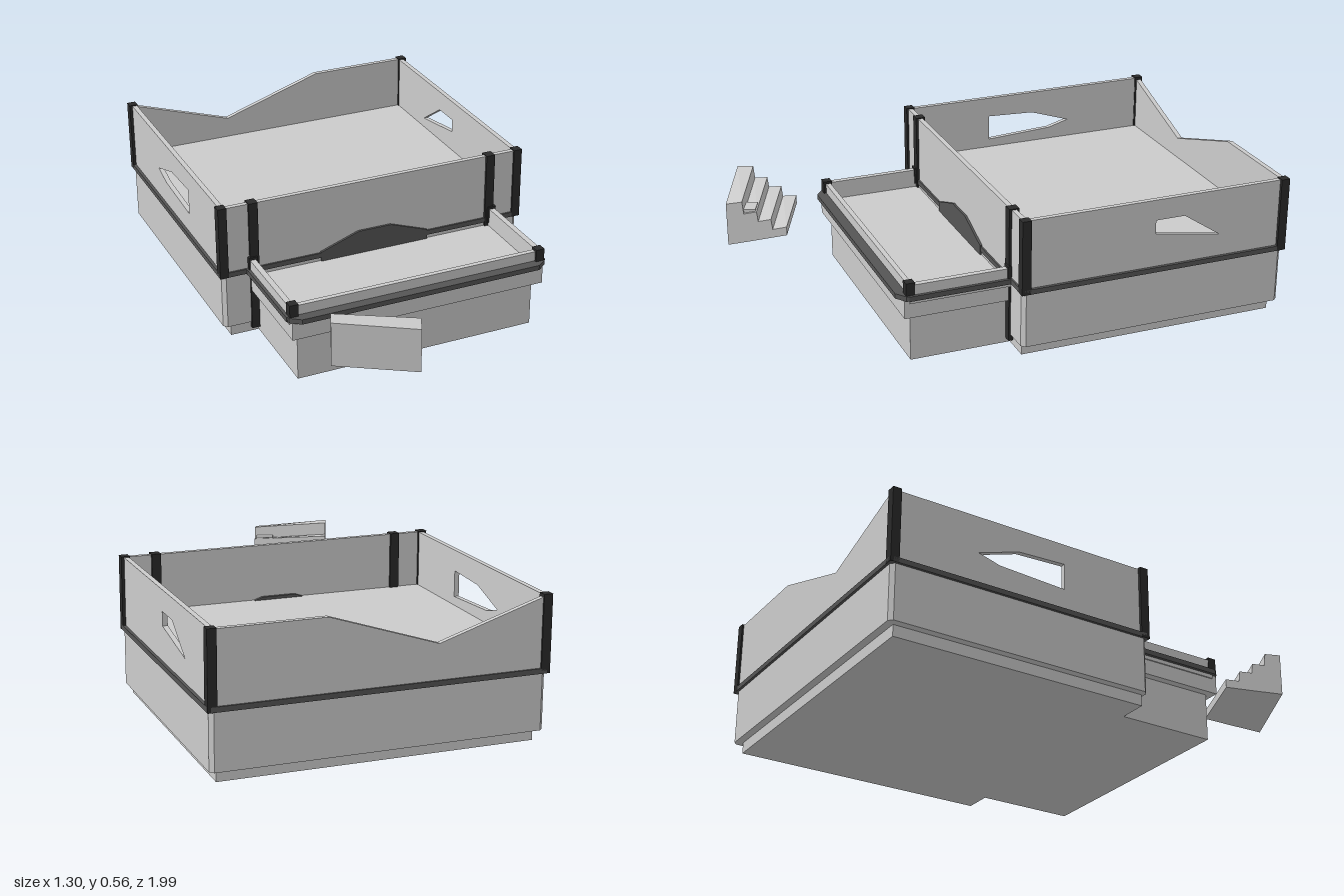
import * as THREE from 'three';

const grey = new THREE.MeshStandardMaterial({ color: 0xcccccc, flatShading: true });
const black = new THREE.MeshStandardMaterial({ color: 0x2a2a2a, flatShading: true });
const dark = new THREE.MeshStandardMaterial({ color: 0x555555, flatShading: true });

export function createModel() {
  const model = new THREE.Group();

  const add = (name, geometry, material = grey, parent = model) => {
    const mesh = new THREE.Mesh(geometry, material);
    mesh.name = name;
    parent.add(mesh);
    return mesh;
  };
  // Box given by its lower and upper limits on each axis
  const box = (name, [x0, x1], [y0, y1], [z0, z1], material, parent) => {
    const g = new THREE.BoxGeometry(x1 - x0, y1 - y0, z1 - z0);
    g.translate((x0 + x1) / 2, (y0 + y1) / 2, (z0 + z1) / 2);
    return add(name, g, material, parent);
  };
  const shapeOf = (points, Type = THREE.Shape) => new Type(points.map(([a, b]) => new THREE.Vector2(a, b)));
  const extrude = (shape, depth) => new THREE.ExtrudeGeometry(shape, { depth, bevelEnabled: false });
  // Horizontal slab from an outline in x and z
  const slab = (name, outline, y0, y1, material) => {
    const g = extrude(shapeOf(outline.map(([x, z]) => [x, -z])), y1 - y0);
    g.rotateX(-Math.PI / 2).translate(0, y0, 0);
    return add(name, g, material);
  };
  // Rectangle with cut corners
  const cutRect = (x, z0, z1, c) => [
    [-x + c, z0], [x - c, z0], [x, z0 + c], [x, z1 - c], [x - c, z1], [-x + c, z1], [-x, z1 - c], [-x, z0 + c],
  ];

  // Main compartment: plinth, skirt, dark band and raised floor
  box('plinth', [-0.61, 0.61], [0, 0.06], [-0.96, 0.09]);
  slab('skirt', cutRect(0.64, -0.99, 0.1, 0.015), 0.045, 0.265);
  slab('band', cutRect(0.65, -1, 0.105, 0.012), 0.265, 0.285, dark);
  box('mainFloor', [-0.618, 0.618], [0.285, 0.335], [-0.978, 0.082]);

  // Front wall and back wall with its dipped top edge
  box('frontWall', [-0.63, 0.63], [0.285, 0.558], [0.078, 0.098]);
  const backWall = extrude(shapeOf([
    [-0.63, 0.285], [0.63, 0.285], [0.63, 0.558], [0.21, 0.558], [-0.21, 0.42], [-0.63, 0.555],
  ]), 0.02);
  add('backWall', backWall.translate(0, 0, -0.993));

  // Side walls, each with its own cut-out, outlined in z and y
  const openings = {
    left: [[-0.44, 0.475], [-0.56, 0.475], [-0.71, 0.375], [-0.44, 0.42]],
    right: [[-0.27, 0.475], [-0.47, 0.466], [-0.64, 0.41], [-0.55, 0.385], [-0.27, 0.37]],
  };
  for (const [side, hole] of Object.entries(openings)) {
    const wall = shapeOf([[-0.985, 0.285], [0.09, 0.285], [0.09, 0.558], [-0.985, 0.558]]);
    wall.holes.push(shapeOf(hole, THREE.Path));
    const g = extrude(wall, 0.02).rotateY(-Math.PI / 2);
    g.translate(side === 'left' ? 0.638 : -0.618, 0, 0);
    add(side + 'Wall', g);
  }

  // Front compartment: base, skirt, low walls
  box('frontBase', [-0.495, 0.495], [0, 0.19], [0.08, 0.49]);
  box('frontSkirt', [-0.525, 0.525], [0.19, 0.25], [0.09, 0.52]);
  box('frontSkirtLip', [-0.525, 0.525], [0.25, 0.268], [0.485, 0.52]);
  box('lowFrontWall', [-0.525, 0.525], [0.25, 0.325], [0.485, 0.505]);

  // Front band with cut corners
  slab('frontBand', [[-0.54, 0.5], [0.54, 0.5], [0.535, 0.515], [0.495, 0.545], [-0.495, 0.545], [-0.535, 0.515]],
    0.265, 0.285, dark);

  // Mirrored side parts and posts
  for (const s of [-1, 1]) {
    const span = (a, b) => (s > 0 ? [a, b] : [-b, -a]);
    box('lowSideWall', span(0.507, 0.53), [0.25, 0.325], [0.1, 0.5]);
    box('frontSideBand', span(0.52, 0.542), [0.265, 0.285], [0.1, 0.505], dark);
    box('backCornerPost', span(0.615, 0.65), [0.265, 0.562], [-1, -0.965], black);
    box('frontCornerPost', span(0.615, 0.65), [0.265, 0.562], [0.07, 0.106], black);
    box('innerPost', span(0.49, 0.527), [0.02, 0.562], [0.068, 0.108], black);
    box('lowCornerPost', span(0.497, 0.532), [0.265, 0.335], [0.48, 0.515], black);
    box('lowRearPost', span(0.5, 0.535), [0.265, 0.335], [0.1, 0.115], black);
  }

  // Dark threshold through the front wall
  const threshold = extrude(shapeOf([
    [-0.23, 0.24], [0.23, 0.24], [0.23, 0.29], [0.07, 0.347], [-0.07, 0.347], [-0.23, 0.29],
  ]), 0.042);
  add('threshold', threshold.translate(0, 0, 0.065), dark);

  // Loose block of steps, turned and slightly twisted
  const steps = new THREE.Group();
  steps.name = 'steps';
  const depth = 0.233, width = 0.316;
  const g = extrude(shapeOf([
    [0, 0.29], [0.12, 0.275], [depth, 0.262], [depth, 0.436], [0.17, 0.441], [0.165, 0.39],
    [0.115, 0.396], [0.11, 0.355], [0.06, 0.361], [0.055, 0.318], [0, 0.325],
  ]), width);
  g.rotateY(-Math.PI / 2).translate(width / 2, 0, 0);
  const p = g.attributes.position;
  for (let i = 0; i < p.count; i++) p.setY(i, p.getY(i) - 0.1 * p.getX(i) * p.getZ(i) / depth);
  g.translate(0, 0, -depth / 2);
  g.computeVertexNormals();
  add('stepBlock', g, grey, steps);
  box('stepNub', [0.078, 0.15], [0.36, 0.395], [0.004, 0.05], grey, steps);
  steps.rotation.y = -0.4;
  steps.position.set(-0.33, 0, 0.82);
  model.add(steps);

  return model;
}
